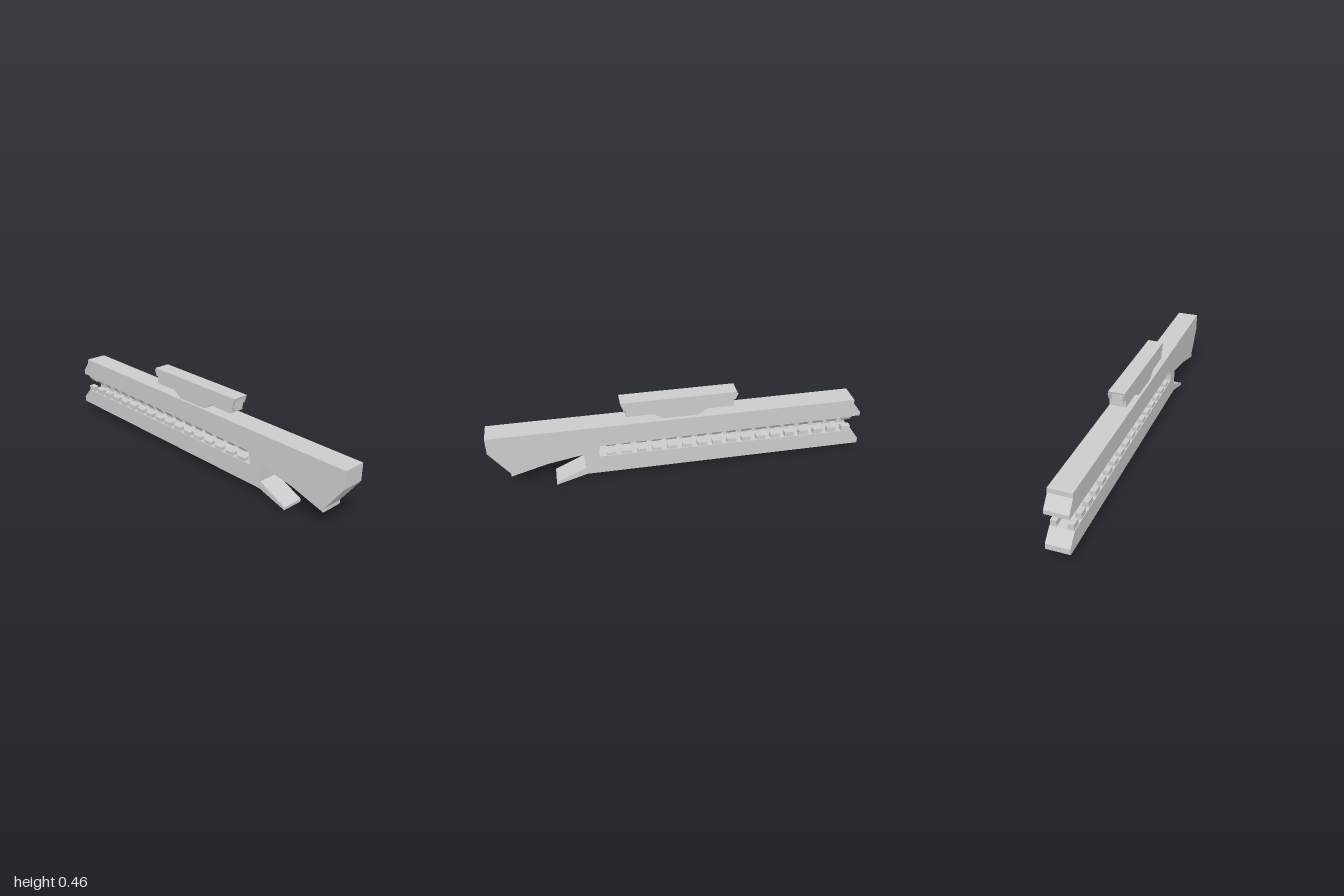
import * as THREE from 'three';

const material = new THREE.MeshStandardMaterial({ color: 0xcccccc, flatShading: true });
const smooth = new THREE.MeshStandardMaterial({ color: 0xcccccc });

function mesh(name, geometry, mat = material) {
  const m = new THREE.Mesh(geometry, mat);
  m.name = name;
  return m;
}

// Side profile given as [z, y] points, extruded across the width from x0 to x1
function sideSlab(points, x0, x1) {
  const shape = new THREE.Shape(points.map(([z, y]) => new THREE.Vector2(z, y)));
  return new THREE.ExtrudeGeometry(shape, { depth: x1 - x0, bevelEnabled: false })
    .rotateY(-Math.PI / 2).translate(x1, 0, 0);
}

// Cross-section given as [x, y] points, extruded along z from z0 to z1
function crossSlab(points, z0, z1) {
  const shape = new THREE.Shape(points.map(([x, y]) => new THREE.Vector2(x, y)));
  return new THREE.ExtrudeGeometry(shape, { depth: z1 - z0, bevelEnabled: false }).translate(0, 0, z0);
}

export function createModel() {
  const model = new THREE.Group();

  // Stock, upper and lower rails in one forked body, with a slot open at the back
  model.add(mesh('body', sideSlab([
    [1, 0.34], [1, 0.25], [0.9, 0.11], [0.9, 0.09], [0.71, 0.145], [0.515, 0.18],
    [0.515, 0.09], [0.675, 0.015], [0.675, 0], [0.51, 0.05],
    [-1, 0.05], [-1, 0.08], [-0.945, 0.14], [0.44, 0.155],
    [0.44, 0.19], [0.43, 0.223], [-0.95, 0.235], [-0.99, 0.235], [-0.99, 0.257],
    [-0.945, 0.315], [-0.945, 0.34],
  ], -0.06, 0.06)));

  // Two rows of teeth on each rail: blocks below, wedges sloping inward above
  const lowerTeeth = new THREE.Group();
  lowerTeeth.name = 'lowerTeeth';
  const upperTeeth = new THREE.Group();
  upperTeeth.name = 'upperTeeth';
  const count = 17, pitch = 0.081, length = 0.05;
  for (let i = 0; i < count; i++) {
    const z = 0.375 - i * pitch;
    for (const s of [-1, 1]) {
      const block = mesh('lowerTooth', new THREE.BoxGeometry(0.03, 0.035, length));
      block.position.set(s * 0.041, 0.1525, z);
      lowerTeeth.add(block);
      upperTeeth.add(mesh('upperTooth', crossSlab([
        [s * 0.022, 0.2], [s * 0.036, 0.2], [s * 0.054, 0.225], [s * 0.054, 0.237], [s * 0.022, 0.237],
      ], z - length / 2, z + length / 2)));
    }
  }
  model.add(lowerTeeth, upperTeeth);

  // Sight on top, with hooded ends and a round lens at each end
  const sight = new THREE.Group();
  sight.name = 'sight';
  const left = 0.039, right = -0.047;
  sight.add(mesh('sightBody', sideSlab([
    [0.288, 0.45], [0.288, 0.372], [0.145, 0.372], [0.095, 0.338],
    [-0.085, 0.338], [-0.135, 0.372], [-0.276, 0.372], [-0.276, 0.45],
  ], right, left)));
  sight.add(mesh('sightRoof', sideSlab([
    [0.315, 0.456], [0.312, 0.445], [-0.291, 0.445], [-0.294, 0.456],
  ], right, left)));
  for (const end of [1, -1]) {
    const at = (d) => 0.006 + end * d;
    for (const [a, b] of [[right, right + 0.011], [left - 0.011, left]]) {
      sight.add(mesh('hoodCheek', sideSlab([
        [at(0.306), 0.445], [at(0.294), 0.412], [at(0.28), 0.412], [at(0.28), 0.445],
      ], a, b)));
    }
    const lens = mesh('lens', new THREE.CylinderGeometry(0.031, 0.031, 0.012, 32).rotateX(Math.PI / 2), smooth);
    lens.position.set(-0.006, 0.408, at(0.285));
    sight.add(lens);
  }
  model.add(sight);

  return model;
}
